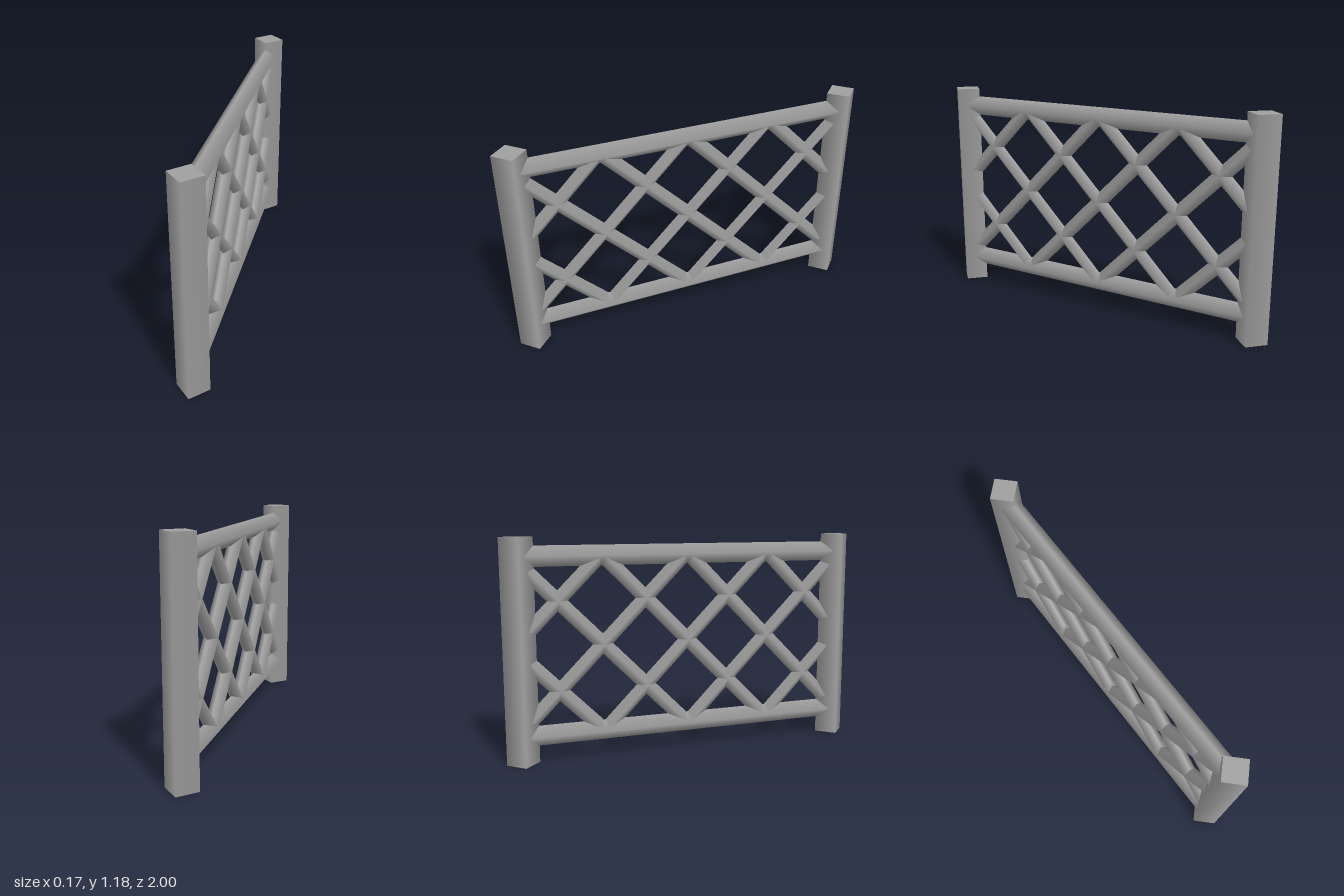
import * as THREE from 'three';

export function createModel() {
  const group = new THREE.Group();
  group.name = 'latticeFence';
  const material = new THREE.MeshStandardMaterial({ color: 0xa0a0a0, side: THREE.DoubleSide });

  const postRadius = 0.086, postZ = 0.914, postHeight = 1.18;
  const railRadius = 0.054, railLow = 0.144, railHigh = 1.082;
  const midY = (railLow + railHigh) / 2, halfY = (railHigh - railLow) / 2;
  const slatRadius = 0.039, step = 0.475;

  // Open four-sided bar with soft shading, laid between two points in the x = 0 plane
  function bar(name, radius, y0, z0, y1, z1) {
    const length = Math.hypot(y1 - y0, z1 - z0);
    const mesh = new THREE.Mesh(new THREE.CylinderGeometry(radius, radius, length, 4, 1, true), material);
    mesh.name = name;
    mesh.position.set(0, (y0 + y1) / 2, (z0 + z1) / 2);
    mesh.rotation.x = Math.atan2(z1 - z0, y1 - y0);
    group.add(mesh);
  }

  // Corner posts, closed at the top and open underneath
  for (const [name, z] of [['frontPost', postZ], ['backPost', -postZ]]) {
    bar(name, postRadius, 0, z, postHeight, z);
    const cap = new THREE.Mesh(new THREE.CircleGeometry(postRadius, 4), material);
    cap.name = name + 'Cap';
    cap.rotation.x = -Math.PI / 2;
    cap.position.set(0, postHeight, z);
    group.add(cap);
  }

  // Horizontal rails
  bar('bottomRail', railRadius, railLow, -postZ, railLow, postZ);
  bar('topRail', railRadius, railHigh, -postZ, railHigh, postZ);

  // Diagonal lattice, each slat trimmed to the frame
  for (const dir of [1, -1]) {
    for (let k = -2; k <= 2; k++) {
      const centre = k * step;
      const z0 = Math.max(centre - halfY, -postZ);
      const z1 = Math.min(centre + halfY, postZ);
      bar(dir > 0 ? 'risingSlat' : 'fallingSlat', slatRadius,
        midY + dir * (z0 - centre), z0, midY + dir * (z1 - centre), z1);
    }
  }
  return group;
}
